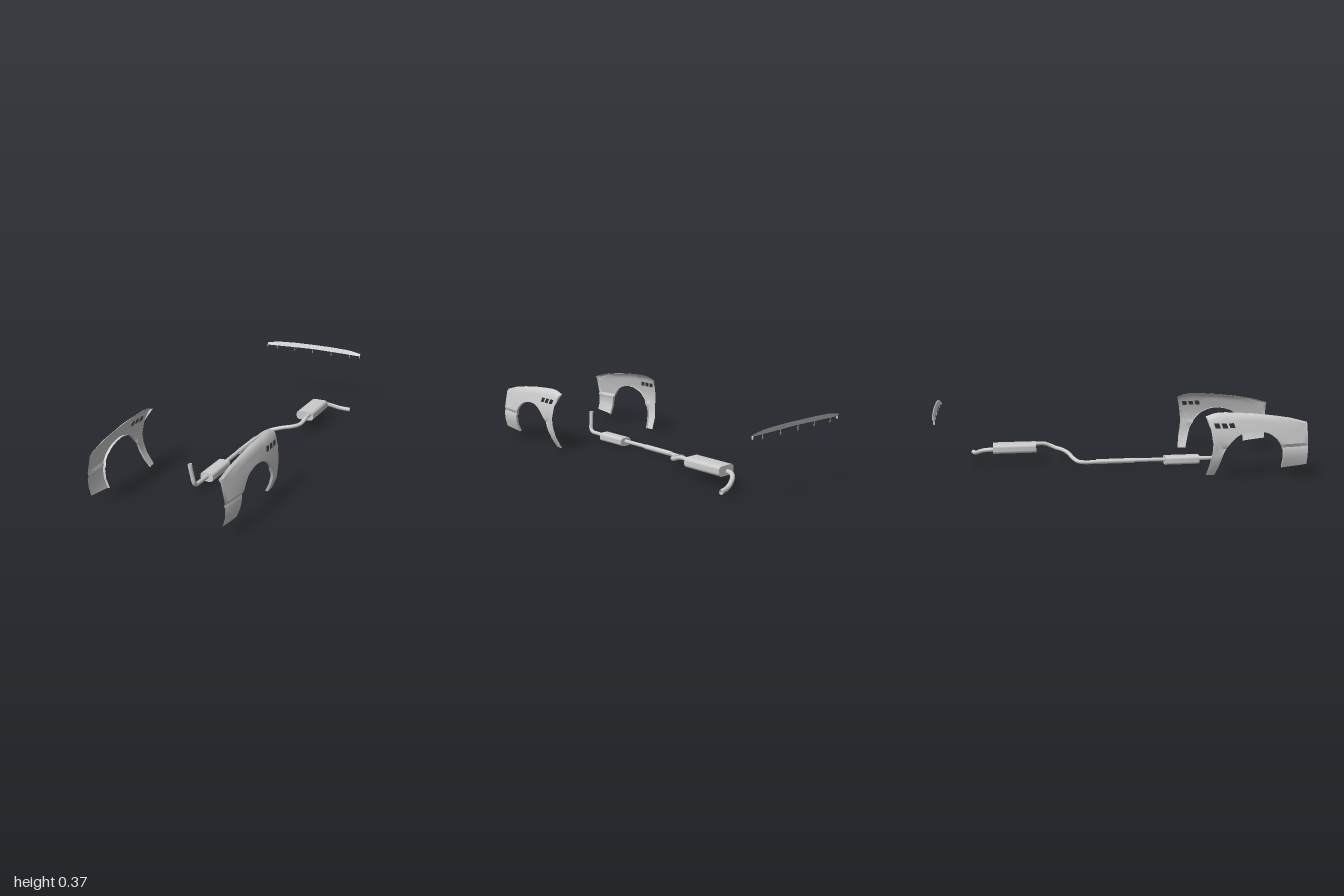
import * as THREE from 'three';
import { toCreasedNormals } from 'three/addons/utils/BufferGeometryUtils.js';

const metal = new THREE.MeshStandardMaterial({ color: 0xcccccc, side: THREE.DoubleSide });

// Piecewise linear lookup in a list of [key, value] with rising keys
function lookup(table, k) {
  if (k <= table[0][0]) return table[0][1];
  for (let i = 1; i < table.length; i++) {
    const [k0, v0] = table[i - 1], [k1, v1] = table[i];
    if (k <= k1) return v0 + (v1 - v0) * (k - k0) / (k1 - k0);
  }
  return table[table.length - 1][1];
}

// Surface through a grid of points: cols[u][v], with optional missing cells
function gridSurface(cols, flip = false, isHole = () => false) {
  const n = cols[0].length, index = [];
  for (let u = 0; u < cols.length - 1; u++) {
    for (let v = 0; v < n - 1; v++) {
      if (isHole(u, v)) continue;
      const a = u * n + v, b = a + n, c = b + 1, d = a + 1;
      index.push(...(flip ? [a, c, b, a, d, c] : [a, b, c, a, c, d]));
    }
  }
  const g = new THREE.BufferGeometry();
  g.setAttribute('position', new THREE.Float32BufferAttribute(cols.flat(2), 3));
  g.setIndex(index);
  return toCreasedNormals(g, 0.5);
}

function part(name, geometry, x = 0, y = 0, z = 0) {
  const m = new THREE.Mesh(geometry, metal);
  m.name = name;
  m.position.set(x, y, z);
  return m;
}

// Fender columns: wheel arch z, y, outer outline z, y, optional vent z
const fenderColumns = [
  [.86, .05, 1, .065], [.86, .10, 1, .11], [.855, .152, 1, .155], [.85, .166, 1, .168],
  [.84, .185, 1, .185], [.82, .213, 1, .24], [.79, .237, 1, .28], [.77, .247, 1, .295],
  [.735, .257, .9, .322], [.695, .262, .8, .338], [.655, .259, .7, .35], [.615, .245, .62, .356],
  [.6, .237, .59, .358, .583], [.588, .228, .56, .359, .555], [.577, .218, .545, .36, .543],
  [.566, .207, .52, .36, .515], [.556, .195, .5, .359, .503], [.547, .183, .475, .355, .475],
  [.54, .17, .433, .34], [.533, .16, .455, .27], [.525, .145, .465, .2],
  [.515, .115, .463, .15], [.503, .07, .452, .09], [.487, .02, .44, .02],
];
const topLine = [[.433, .34], [.475, .355], [.52, .36], [.7, .35], [.9, .322], [1, .295]];
const shoulder = [[0, .35], [.008, .366], [.025, .379], [.085, .395], [.13, .403], [.2, .404]];
const lowerSide = [[.02, .354], [.08, .385], [.13, .399], [.155, .399], [.168, .394], [.185, .403], [.2, .404]];

// Sideways position of the fender skin at a given height and length
function fenderX(y, z) {
  const depth = lookup(topLine, z) - y;
  const x = Math.min(lookup(shoulder, depth), lookup(lowerSide, y));
  const taper = Math.max(0, (z - .6) / .4) ** 2;
  return x - taper * lookup([[0, .005], [.025, .022], [.1, .024], [.25, .012]], depth);
}

function fender(side) {
  const mix = (p, q, t) => [p[0] + (q[0] - p[0]) * t, p[1] + (q[1] - p[1]) * t];
  const cols = fenderColumns.map(([az, ay, oz, oy, vent]) => {
    const A = [az, ay], O = [oz, oy];
    const low = vent ? [vent + .004, .281] : mix(A, O, .54);
    const high = vent ? [vent - .004, .306] : mix(A, O, .69);
    const rows = [A, mix(A, low, .15), mix(A, low, .55), low, high,
      ...[.4, .7, .88, .95, 1].map(t => mix(high, O, t))];
    const pts = rows.map(([z, y]) => [side * fenderX(y, z), y, z]);
    // inward lip of the wheel arch
    pts.unshift([side * (fenderX(ay, az) - .014), ay, az]);
    return pts;
  });
  // three vents behind the arch
  return gridSurface(cols, side < 0, (u, v) => v === 4 && [12, 14, 16].includes(u));
}

const vec = p => new THREE.Vector3(...p);
function pipe(points, radius, segments) {
  const curve = new THREE.CatmullRomCurve3(points.map(vec), false, 'centripetal');
  return new THREE.TubeGeometry(curve, segments, radius, 12);
}

// Muffler can with chamfered corners, extruded along z
function muffler(w, h, cx, cy, length) {
  const x = w / 2, y = h / 2, s = new THREE.Shape();
  s.moveTo(-x, -y + cy);
  s.quadraticCurveTo(-x * .98, -y, -x + cx, -y);
  s.lineTo(x - cx, -y);
  s.quadraticCurveTo(x * .98, -y, x, -y + cy);
  s.lineTo(x, y - cy);
  s.quadraticCurveTo(x * .98, y, x - cx, y);
  s.lineTo(-x + cx, y);
  s.quadraticCurveTo(-x * .98, y, -x, y - cy);
  s.closePath();
  const g = new THREE.ExtrudeGeometry(s, { depth: length, bevelEnabled: false, curveSegments: 3 });
  g.translate(0, 0, -length / 2);
  return toCreasedNormals(g, .7);
}

function exhaust() {
  const g = new THREE.Group();
  g.name = 'exhaust';
  g.add(part('downPipe', pipe([[-.016, .158, .63], [-.014, .14, .63], [-.007, .09, .624], [-.001, .05, .618],
    [0, .034, .6], [0, .032, .57], [0, .031, .48]], .0115, 40)));
  g.add(part('frontMuffler', muffler(.074, .05, .025, .016, .2), 0, .028, .385));
  g.add(part('middlePipe', pipe([[0, .031, .3], [0, .032, .1], [0, .03, -.1], [.001, .029, -.17], [.008, .033, -.21],
    [.035, .045, -.235], [.1, .064, -.26], [.16, .073, -.29], [.19, .079, -.325], [.202, .093, -.36],
    [.204, .103, -.39], [.204, .104, -.45]], .0115, 80)));
  const sleeve = new THREE.CylinderGeometry(.0145, .0145, .22, 12);
  g.add(part('sleeve', sleeve.rotateX(Math.PI / 2), 0, .031, 0));
  g.add(part('rearMuffler', muffler(.106, .054, .022, .018, .246), .173, .091, -.566));
  g.add(part('tailPipe', pipe([[.165, .084, -.68], [.168, .083, -.71], [.185, .077, -.742], [.22, .063, -.768],
    [.27, .046, -.79], [.334, .038, -.805]], .0125, 40)));
  return g;
}

// Rear spoiler: thin wedge lofted across x, with mounting pins below
function spoiler() {
  const g = new THREE.Group();
  g.name = 'spoiler';
  const cols = [];
  for (let i = 0; i <= 20; i++) {
    const x = -.325 + .65 * i / 20, a = Math.abs(x);
    const top = lookup([[0, .375], [.13, .374], [.25, .369], [.325, .356]], a);
    const low = .35 - .007 * a / .325, z = .006 * (a / .325) ** 2;
    cols.push([[x, low, -.986 + z], [x, top - .003, -.995 + z], [x, top, -1 + z],
      [x, low, -.993 + z], [x, low, -.986 + z]]);
  }
  g.add(part('blade', gridSurface(cols)));
  for (const x of [-.258, -.129, -.002, .127, .256]) {
    g.add(part('pinShank', new THREE.CylinderGeometry(.0015, .0015, .022, 6), x, .339, -.989));
    g.add(part('pinTip', new THREE.CylinderGeometry(.0035, .001, .011, 6), x, .325, -.989));
  }
  for (const s of [-1, 1])
    g.add(part('endTab', new THREE.BoxGeometry(.004, .016, .008), s * .323, .337, -.984));
  return g;
}

export function createModel() {
  const model = new THREE.Group();
  model.add(part('leftFender', fender(1)), part('rightFender', fender(-1)), exhaust(), spoiler());
  return model;
}
